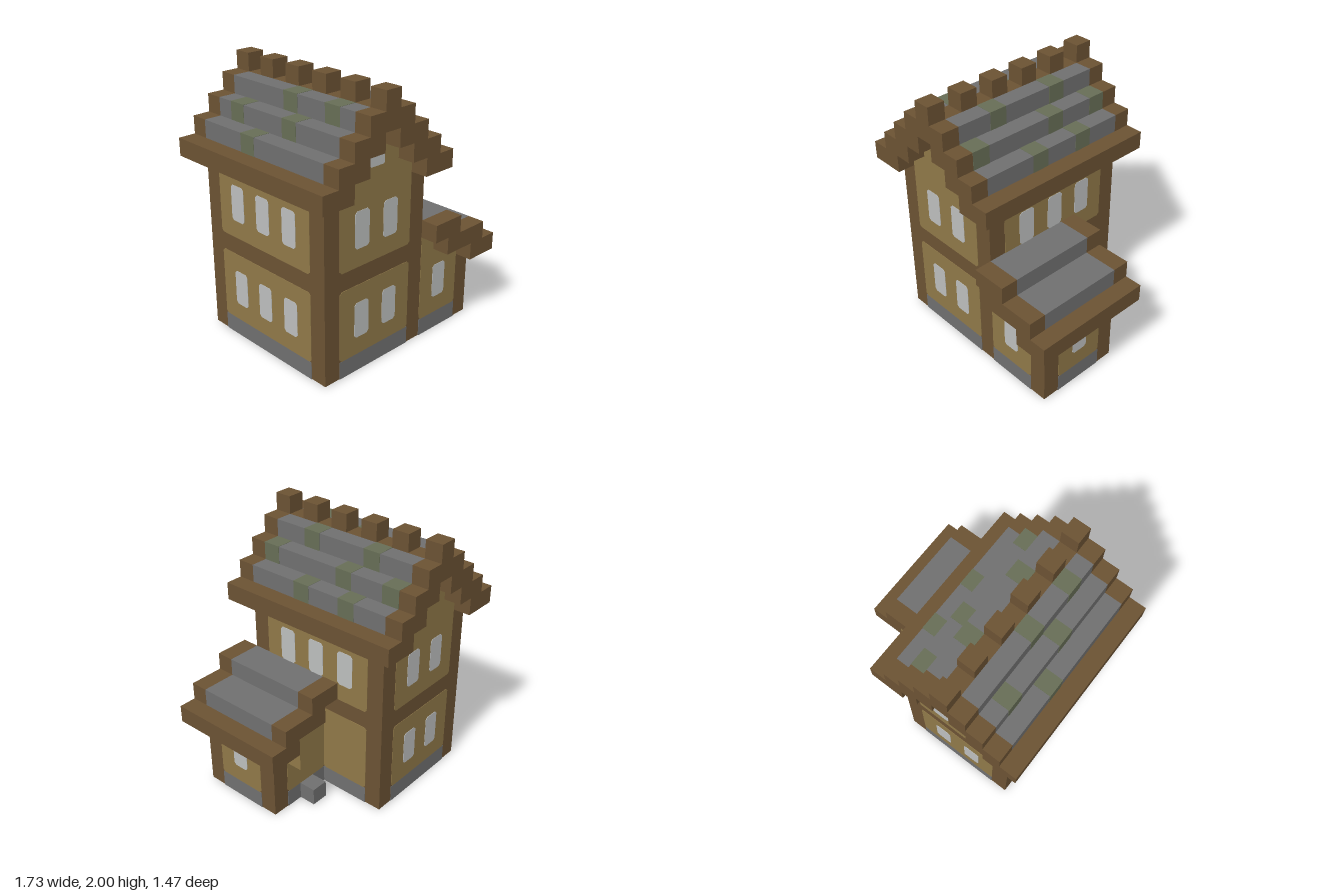
import * as THREE from 'three';

const U = 2 / 15; // one building block

const mat = (name, color) => {
  const m = new THREE.MeshStandardMaterial({ color });
  m.name = name;
  return m;
};

export function createModel() {
  const house = new THREE.Group();
  house.name = 'house';
  const timber = mat('timber', 0x6b5233);
  const plaster = mat('plaster', 0x8f7848);
  const stone = mat('stone', 0x6f6f6f);
  const moss = mat('moss', 0x666d55);
  const glass = mat('glass', 0xbcbebd);

  const group = (name) => {
    const g = new THREE.Group();
    g.name = name;
    house.add(g);
    return g;
  };

  // Box between two corners given in blocks, grown by g units
  const box = (parent, name, m, x0, x1, y0, y1, z0, z1, g = 0) => {
    const geo = new THREE.BoxGeometry((x1 - x0) * U + 2 * g, (y1 - y0) * U + 2 * g, (z1 - z0) * U + 2 * g);
    const mesh = new THREE.Mesh(geo, m);
    mesh.name = name;
    mesh.position.set((x0 + x1) / 2 * U, (y0 + y1) / 2 * U, (z0 + z1) / 2 * U);
    parent.add(mesh);
    return mesh;
  };

  // Thin plate on a wall; a, b run along the wall, c0 and c1 are bottom and top corner cuts
  const TURN = { front: 0, right: Math.PI / 2, back: Math.PI, left: -Math.PI / 2 };
  const plate = (parent, name, m, side, plane, a, b, y0, y1, depth, c0 = 0, c1 = 0) => {
    const w = (b - a) * U / 2, h = (y1 - y0) * U;
    const s = new THREE.Shape([
      [-w + c0, 0], [w - c0, 0], [w, c0], [w, h - c1],
      [w - c1, h], [-w + c1, h], [-w, h - c1], [-w, c0],
    ].map(([x, y]) => new THREE.Vector2(x, y)));
    const mesh = new THREE.Mesh(new THREE.ExtrudeGeometry(s, { depth, bevelEnabled: false }), m);
    mesh.name = name;
    const mid = (a + b) / 2 * U;
    const alongX = side === 'front' || side === 'back';
    mesh.position.set(alongX ? mid : plane * U, y0 * U, alongX ? plane * U : mid);
    mesh.rotation.y = TURN[side];
    parent.add(mesh);
  };
  const CUT = 0.018;
  const panel = (p, side, plane, a, b, y0, y1, top = CUT) =>
    plate(p, 'wallPanel', plaster, side, plane, a, b, y0, y1, 0.003, CUT, top);
  const base = (p, side, plane, a, b) =>
    plate(p, 'stoneBase', stone, side, plane, a, b, 0, 1, 0.003);
  const pane = (p, side, plane, a, y) =>
    plate(p, 'window', glass, side, plane, a, a + 1, y, y + 2, 0.006, CUT, CUT);

  // Main house: timber frame with panels let in
  const main = group('mainHouse');
  box(main, 'timberFrame', timber, -5.5, 1.5, 0.02, 10, -4.5, 4.5);
  for (const [side, plane] of [['front', 4.5], ['back', -4.5]]) {
    base(main, side, plane, -4.5, 0.5);
    panel(main, side, plane, -4.5, 0.5, 1, 5);
    panel(main, side, plane, -4.5, 0.5, 6, 10, 0);
    for (const y of [2, 7]) for (const x of [-3.5, -1.5]) pane(main, side, plane, x, y);
    // Stepped gable
    for (let i = 0; i < 3; i++) {
      plate(main, 'gable', plaster, side, plane, -4.5 + i, 0.5 - i, 10 + i, 11 + i, 0.003);
    }
  }
  plate(main, 'gableWindow', glass, 'front', 4.5, -2.5, -1.5, 11, 12, 0.006, 0.01, 0);
  for (let i = 0; i < 3; i++) {
    box(main, 'gableCore', plaster, -4.5 + i, 0.5 - i, 10 + i, 11 + i, -4.5, 4.5);
  }
  base(main, 'left', -5.5, -3.5, 3.5);
  panel(main, 'left', -5.5, -3.5, 3.5, 1, 5);
  panel(main, 'left', -5.5, -3.5, 3.5, 6, 10);
  base(main, 'right', 1.5, -3.5, -0.5);
  panel(main, 'right', 1.5, -3.5, -0.5, 1, 5);
  panel(main, 'right', 1.5, -3.5, 3.5, 6, 10);
  for (const z of [-2.5, -0.5, 1.5]) {
    pane(main, 'left', -5.5, z, 2);
    pane(main, 'left', -5.5, z, 7);
    pane(main, 'right', 1.5, z, 7);
  }

  // Side annex
  const annex = group('annex');
  box(annex, 'timberFrame', timber, 1.5, 5.5, 0.02, 4, -0.5, 4.5);
  box(annex, 'upperWall', plaster, 1.5, 4.5, 4, 5, -0.5, 4.5);
  box(annex, 'upperWall', plaster, 1.5, 2.5, 5, 6, -0.5, 4.5);
  for (const [side, plane] of [['front', 4.5], ['back', -0.5]]) {
    base(annex, side, plane, 1.5, 4.5);
    panel(annex, side, plane, 1.5, 4.5, 1, 5, 0);
    plate(annex, 'gable', plaster, side, plane, 1.5, 2.5, 5, 6, 0.003);
  }
  pane(annex, 'front', 4.5, 2.5, 2);
  base(annex, 'right', 5.5, 0.5, 3.5);
  panel(annex, 'right', 5.5, 0.5, 3.5, 1, 4);
  pane(annex, 'right', 5.5, 1.5, 2);
  box(annex, 'backStep', stone, 2.5, 3.5, 0, 1, -1.5, -0.5);
  box(annex, 'backCorbel', plaster, 3.5, 4.5, 3, 5, -1.5, -0.5);

  // Floor slab, leaving the post ends showing
  const floor = group('floor');
  for (const [x0, x1, z0, z1] of [
    [-4.5, 0.5, -4.5, 4.5], [-5.5, 1.5, -3.5, 3.5],
    [1.5, 4.5, -0.5, 4.5], [1.5, 5.5, 0.5, 3.5],
  ]) box(floor, 'floorSlab', stone, x0, x1, 0, 0.04, z0, z1);

  // One roof course: slate between two timber end boards
  const course = (p, x0, x1, y, z0, z1) => {
    box(p, 'slateCourse', stone, x0, x1, y, y + 1, z0 + 1, z1 - 1);
    box(p, 'endBoard', timber, x0, x1, y, y + 1, z1 - 1, z1);
    box(p, 'endBoard', timber, x0, x1, y, y + 1, z0, z0 + 1);
  };

  // Main roof, rising in steps from both eaves
  const roof = group('mainRoof');
  box(roof, 'leftEave', timber, -6.5, -4.5, 10, 11, -5.5, 5.5);
  box(roof, 'rightEave', timber, 0.5, 2.5, 10, 11, -5.5, 5.5);
  for (let i = 0; i < 2; i++) {
    course(roof, -5.5 + i, -3.5 + i, 11 + i, -5.5, 5.5);
    course(roof, -0.5 - i, 1.5 - i, 11 + i, -5.5, 5.5);
  }
  course(roof, -3.5, -2.5, 13, -5.5, 5.5);
  course(roof, -1.5, -0.5, 13, -5.5, 5.5);
  box(roof, 'ridgeBeam', timber, -2.5, -1.5, 13, 14, -5.5, 5.5);
  for (const z of [-5.5, -3.5, -1.5, 0.5, 2.5, 4.5]) {
    box(roof, 'ridgeBlock', timber, -2.5, -1.5, 14, 15, z, z + 1);
  }

  // Mossy slates: x, y and z of each block
  for (const [x, y, z] of [
    [-1.5, 13, -2.5], [-1.5, 13, 1.5],
    [-0.5, 12, -4.5], [-0.5, 12, -1.5], [-0.5, 12, 3.5],
    [0.5, 11, -2.5], [0.5, 11, 0.5],
    [-3.5, 13, -0.5], [-3.5, 13, 2.5],
    [-4.5, 12, -3.5], [-4.5, 12, 0.5], [-5.5, 11, -1.5],
  ]) box(roof, 'mossySlate', moss, x, x + 1, y, y + 1, z, z + 1, 0.002);

  // Annex lean-to roof
  const lean = group('annexRoof');
  course(lean, 1.5, 3.5, 6, -1.5, 5.5);
  course(lean, 2.5, 5.5, 5, -1.5, 5.5);
  box(lean, 'annexEave', timber, 4.5, 6.5, 4, 5, -1.5, 5.5);

  return house;
}
